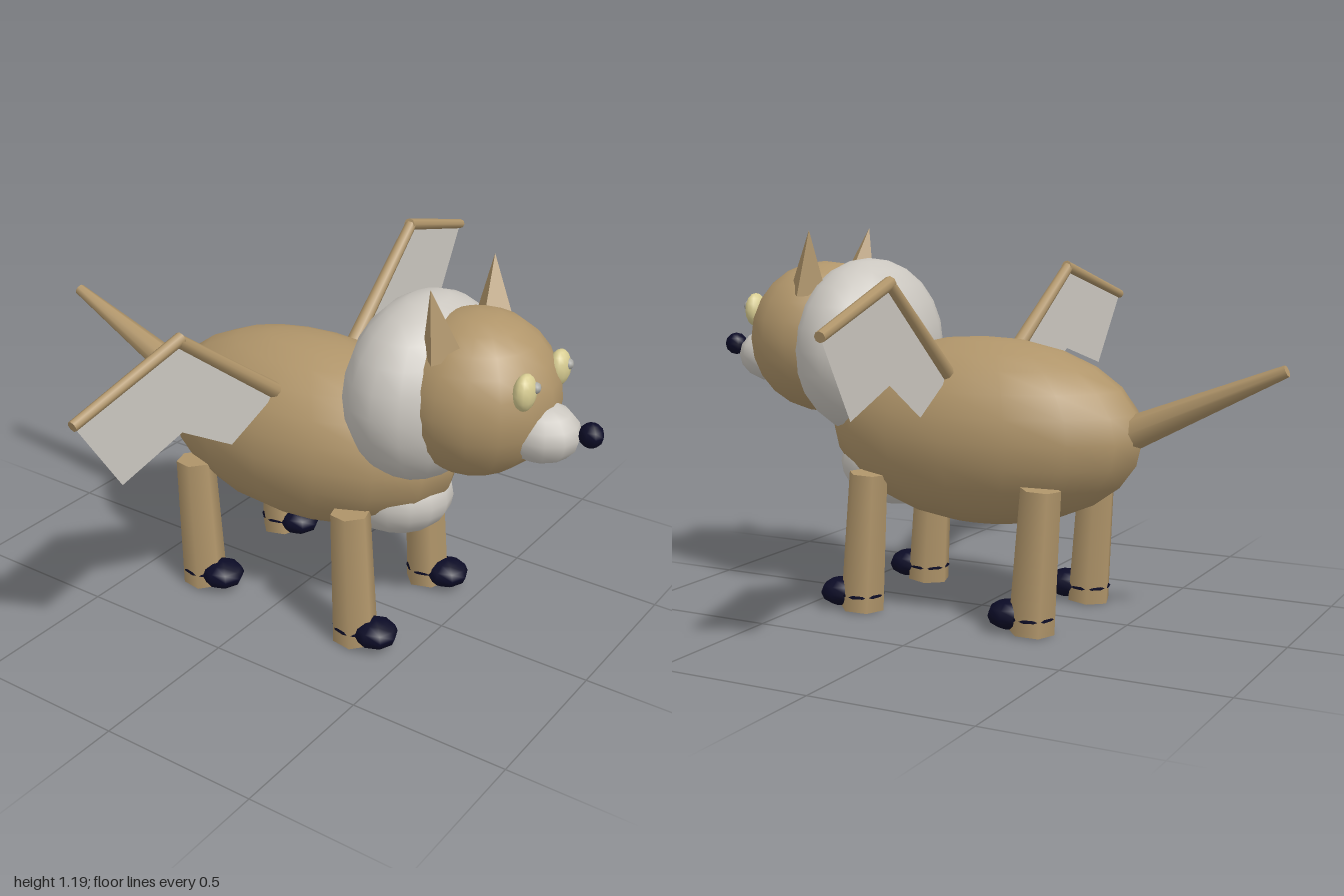
import * as THREE from 'three';

const paint = (name, color, side = THREE.FrontSide) => {
  const m = new THREE.MeshStandardMaterial({ color, side });
  m.name = name;
  return m;
};

export function createModel() {
  const model = new THREE.Group();
  model.name = 'wingedFox';
  const tan = paint('tanFur', 0xb0956a);
  const white = paint('paleFur', 0xcbc7c0, THREE.DoubleSide);
  const navy = paint('darkNavy', 0x0b0b26);
  const cream = paint('creamEye', 0xd8cd92);
  const grey = paint('greyPupil', 0xa9a9a4);

  const add = (name, geometry, material) => {
    const mesh = new THREE.Mesh(geometry, material);
    mesh.name = name;
    model.add(mesh);
    return mesh;
  };

  // Ellipsoid given by centre and three radii
  const ball = (name, material, [x, y, z], [rx, ry, rz], w = 16, h = 12) => {
    const mesh = add(name, new THREE.SphereGeometry(1, w, h), material);
    mesh.position.set(x, y, z);
    mesh.scale.set(rx, ry, rz);
    return mesh;
  };

  // Tapered rod between two points
  const rod = (name, material, from, to, r0, r1, sides, flat = false) => {
    const a = new THREE.Vector3(...from), b = new THREE.Vector3(...to);
    const dir = b.clone().sub(a);
    let geometry = new THREE.CylinderGeometry(r1, r0, dir.length(), sides);
    if (flat) {
      geometry = geometry.toNonIndexed();
      geometry.computeVertexNormals();
    }
    const mesh = add(name, geometry, material);
    mesh.position.copy(a).add(b).multiplyScalar(0.5);
    mesh.quaternion.setFromUnitVectors(new THREE.Vector3(0, 1, 0), dir.normalize());
    return mesh;
  };

  // Trunk and head
  ball('body', tan, [0, 0.575, -0.01], [0.295, 0.295, 0.53]);
  ball('chest', white, [0, 0.445, 0.31], [0.165, 0.135, 0.19]);
  ball('mane', white, [0, 0.82, 0.41], [0.305, 0.285, 0.215]);
  ball('head', tan, [0, 0.845, 0.58], [0.247, 0.247, 0.247]);
  ball('muzzle', white, [0, 0.775, 0.79], [0.105, 0.09, 0.12], 12, 8);
  ball('nose', navy, [0, 0.805, 0.945], [0.037, 0.037, 0.037], 8, 6);
  rod('tail', tan, [0, 0.595, -0.5], [0, 0.81, -0.975], 0.053, 0.018, 8);

  // Pupils look slightly to one side
  ball('rightPupil', grey, [-0.086, 0.945, 0.807], [0.017, 0.017, 0.017], 8, 6);
  ball('leftPupil', grey, [0.112, 0.945, 0.807], [0.017, 0.017, 0.017], 8, 6);

  for (const s of [-1, 1]) {
    const side = s > 0 ? 'left' : 'right';
    ball(side + 'Eye', cream, [s * 0.104, 0.932, 0.785], [0.044, 0.055, 0.031], 12, 8);
    rod(side + 'Ear', tan, [s * 0.145, 1.0, 0.548], [s * 0.18, 1.195, 0.52], 0.068, 0.0005, 4, true);

    // Legs with paws and a dark ring around each ankle
    for (const [end, z] of [['Front', 0.29], ['Hind', -0.305]]) {
      const x = s * 0.212;
      rod(side + end + 'Leg', tan, [x, 0.445, z], [x + s * 0.003, 0.008, z + 0.027], 0.062, 0.071, 6);
      ball(side + end + 'Paw', navy, [x + s * 0.003, 0.055, z + 0.1], [0.07, 0.045, 0.07], 8, 6);
      ball(side + end + 'Ankle', navy, [x + s * 0.003, 0.055, z + 0.024], [0.069, 0.022, 0.069], 12, 4);
    }

    // Wing bones over a vertical membrane
    const back = (x) => 0.028 - 0.084 * x;
    const bone = (x, y) => [s * x, y, back(x)];
    rod(side + 'WingUpperBone', tan, bone(0.2, 0.765), bone(0.6, 1.06), 0.025, 0.019, 8);
    rod(side + 'WingOuterBone', tan, bone(0.59, 1.065), bone(0.995, 0.948), 0.019, 0.016, 8);
    const outline = [[0.2, 0.76], [0.4, 0.663], [0.6, 0.78], [0.835, 0.71], [0.99, 0.945], [0.6, 1.058]];
    const membrane = new THREE.ShapeGeometry(
      new THREE.Shape(outline.map(([x, y]) => new THREE.Vector2(s * x, y))));
    const p = membrane.attributes.position;
    for (let i = 0; i < p.count; i++) p.setZ(i, back(Math.abs(p.getX(i))));
    membrane.computeVertexNormals();
    add(side + 'WingMembrane', membrane, white);
  }
  return model;
}
